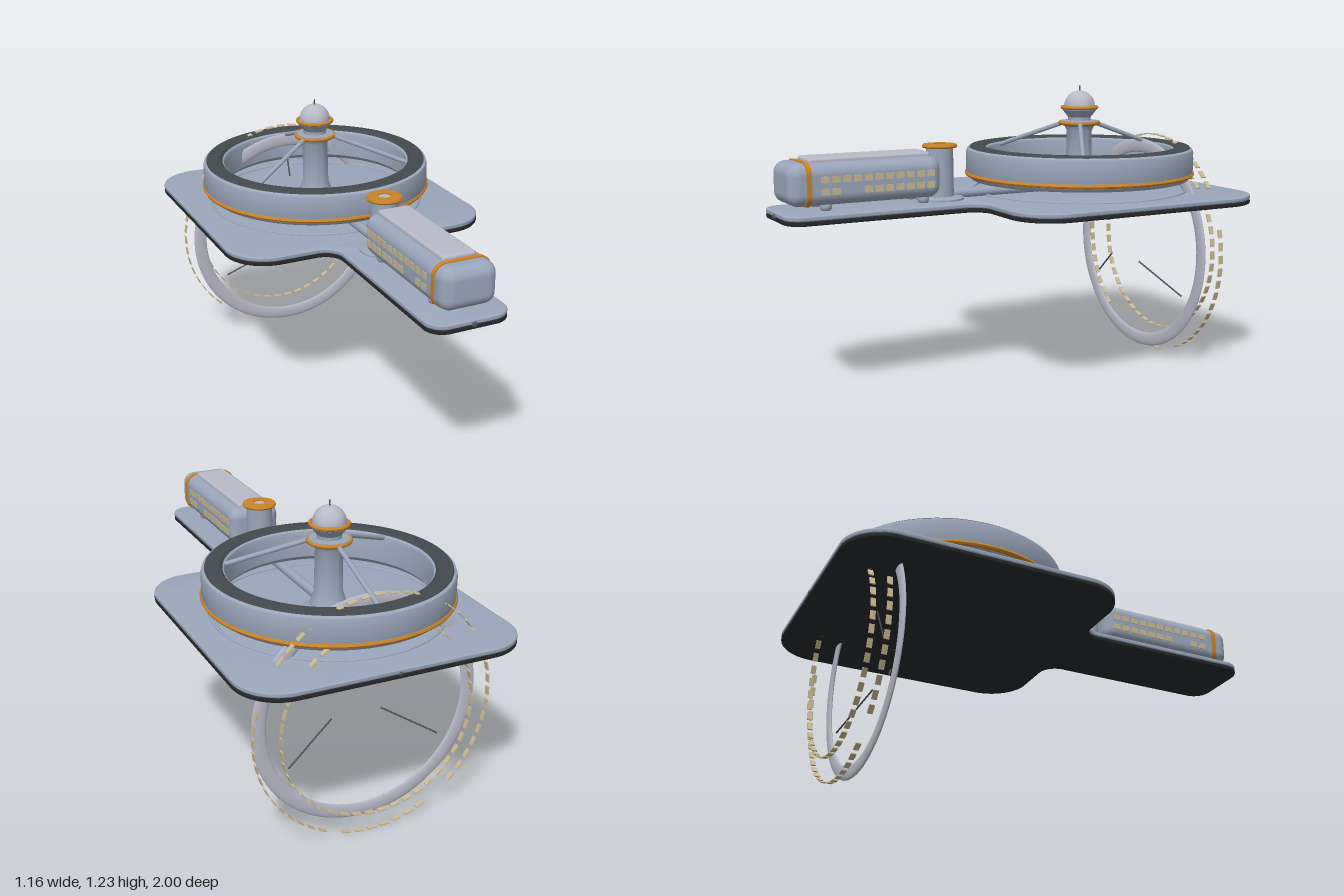
import * as THREE from 'three';
import { toCreasedNormals } from 'three/addons/utils/BufferGeometryUtils.js';
import { RoundedBoxGeometry } from 'three/addons/geometries/RoundedBoxGeometry.js';

const material = (name, color, extra = {}) => {
  const m = new THREE.MeshStandardMaterial({ color, ...extra });
  m.name = name;
  return m;
};

export function createModel() {
  const hull = material('blue grey hull', 0x9aa6ba);
  const pale = material('pale grey', 0xb9bac8);
  const orange = material('orange trim', 0xc98428);
  const dark = material('dark roof', 0x43494d);
  const under = material('black underside', 0x26282b);
  const strut = material('strut grey', 0x50545c);
  const glass = material('tan window', 0xc8b994);

  const model = new THREE.Group();
  model.name = 'ringStation';

  const add = (name, geometry, mat, x = 0, y = 0, z = 0, parent = model) => {
    const mesh = new THREE.Mesh(geometry, mat);
    mesh.name = name;
    mesh.position.set(x, y, z);
    parent.add(mesh);
    return mesh;
  };
  const lathe = (points, segments = 64) => toCreasedNormals(
    new THREE.LatheGeometry(points.map(([r, y]) => new THREE.Vector2(r, y)), segments), 0.6);
  const hoop = (radius, tube, segments = 64) =>
    new THREE.TorusGeometry(radius, tube, 10, segments).rotateX(Math.PI / 2);
  const rod = (name, a, b, radius, mat) => {
    const from = new THREE.Vector3(...a), to = new THREE.Vector3(...b);
    const mesh = add(name, new THREE.CylinderGeometry(radius, radius, from.distanceTo(to), 12), mat);
    mesh.position.copy(from).add(to).multiplyScalar(0.5);
    mesh.quaternion.setFromUnitVectors(new THREE.Vector3(0, 1, 0), to.sub(from).normalize());
  };

  // Platform: broad rounded square with a narrow neck toward the front
  const deckShape = inset => {
    const s = new THREE.Shape();
    const w = 0.58 - inset, n = 0.17 - inset;
    const back = 0.995 - inset, front = -0.165 + inset, tip = -0.99 + inset;
    const R = 0.18 - inset, r = 0.075 - inset, f = 0.075 + inset;
    s.absarc(w - R, back - R, R, 0, Math.PI / 2);
    s.absarc(-w + R, back - R, R, Math.PI / 2, Math.PI);
    s.absarc(-w + R, front + R, R, Math.PI, Math.PI * 1.5);
    s.absarc(-n - f, front - f, f, Math.PI / 2, 0, true);
    s.absarc(-n + r, tip + r, r, Math.PI, Math.PI * 1.5);
    s.absarc(n - r, tip + r, r, Math.PI * 1.5, Math.PI * 2);
    s.absarc(n + f, front - f, f, Math.PI, Math.PI / 2, true);
    s.absarc(w - R, front + R, R, Math.PI * 1.5, Math.PI * 2);
    return s;
  };
  const deck = (name, bottom, top, mat) => {
    const bevel = 0.007;
    const g = new THREE.ExtrudeGeometry(deckShape(bevel), {
      depth: top - bottom - 2 * bevel, bevelSize: bevel, bevelThickness: bevel,
      bevelSegments: 3, curveSegments: 12 });
    g.rotateX(-Math.PI / 2);
    add(name, toCreasedNormals(g, 0.7), mat, 0, bottom + bevel, 0);
  };
  deck('deckTop', 0.763, 0.784, hull);
  deck('deckUnderside', 0.745, 0.765, under);
  for (const z of [-0.99, 0.99]) add('endBeacon', new THREE.SphereGeometry(0.012, 12, 8), strut, 0, 0.765, z * 0.998);

  // Raised wheel habitat
  const cz = -0.41;
  add('wheelHull', lathe([[0.42, 0.832], [0.48, 0.832], [0.492, 0.845], [0.5, 0.865], [0.5, 0.95],
    [0.496, 0.964], [0.485, 0.971], [0.42, 0.971], [0.408, 0.962], [0.403, 0.945], [0.403, 0.85],
    [0.42, 0.832]], 96), hull, 0, 0, cz);
  add('wheelRoof', lathe([[0.488, 0.968], [0.482, 0.975], [0.455, 0.979], [0.425, 0.977], [0.415, 0.968]], 96), dark, 0, 0, cz);
  add('wheelTrim', lathe([[0.49, 0.847], [0.503, 0.85], [0.507, 0.857], [0.503, 0.866], [0.495, 0.868]], 96), orange, 0, 0, cz);
  add('wheelTrack', hoop(0.47, 0.006, 96), hull, 0, 0.785, cz);

  // Central hub with dome and mast
  add('hubColumn', lathe([[0.105, 0.782], [0.1, 0.79], [0.075, 0.805], [0.068, 0.83], [0.058, 0.86], [0.055, 1.04],
    [0.065, 1.06], [0.088, 1.07], [0.088, 1.083], [0.05, 1.086], [0.05, 1.1], [0.075, 1.132], [0.075, 1.145],
    [0, 1.145]], 40), hull, 0, 0, cz);
  add('hubLowerTrim', hoop(0.083, 0.009), orange, 0, 1.075, cz);
  add('hubUpperTrim', hoop(0.075, 0.008), orange, 0, 1.142, cz);
  add('hubDome', new THREE.SphereGeometry(0.067, 32, 16, 0, Math.PI * 2, 0, Math.PI / 2), pale, 0, 1.148, cz);
  add('mast', new THREE.CylinderGeometry(0.003, 0.004, 0.03, 8), strut, 0, 1.222, cz);
  for (let i = 0; i < 3; i++) {
    const a = Math.PI / 6 + i * Math.PI * 2 / 3;
    const c = Math.cos(a), s = Math.sin(a);
    rod('wheelSpoke', [c * 0.06, 1.079, cz + s * 0.06], [c * 0.415, 0.955, cz + s * 0.415], 0.01, hull);
  }
  rod('walkway', [0, 0.802, cz + 0.05], [0, 0.802, 0.24], 0.021, hull);

  // Lift tower between wheel and cabin
  add('tower', lathe([[0.1, 0.782], [0.1, 0.791], [0.09, 0.796], [0.058, 0.798], [0.056, 1.0], [0, 1.0]], 32), hull, 0, 0, 0.275);
  add('towerCap', lathe([[0.055, 0.998], [0.07, 1.0], [0.074, 1.006], [0.07, 1.014], [0.026, 1.016], [0.026, 1.0]], 32), orange, 0, 0, 0.275);
  add('towerHatch', new THREE.CylinderGeometry(0.026, 0.026, 0.01, 24), pale, 0, 1.006, 0.275);

  // Long cabin on the neck
  add('cabinBody', new RoundedBoxGeometry(0.23, 0.168, 0.65, 6, 0.048), hull, 0, 0.892, 0.64);
  add('cabinRoof', new RoundedBoxGeometry(0.14, 0.03, 0.52, 4, 0.012), pale, 0, 0.978, 0.61);
  const band = new THREE.Shape();
  const bw = 0.119, bh = 0.088, br = 0.05;
  [[bw - br, bh - br], [br - bw, bh - br], [br - bw, br - bh], [bw - br, br - bh]].forEach(([x, y], i) =>
    band.absarc(x, y, br, i * Math.PI / 2, (i + 1) * Math.PI / 2));
  add('cabinBand', toCreasedNormals(new THREE.ExtrudeGeometry(band, { depth: 0.02, bevelEnabled: false }), 0.6),
    orange, 0, 0.892, 0.875);
  const pane = new THREE.BoxGeometry(0.005, 0.026, 0.033);
  for (const side of [-1, 1]) {
    for (const z of [0.38, 0.8]) add('cabinFoot', new THREE.SphereGeometry(0.024, 16, 10), hull, side * 0.06, 0.8, z);
    for (let i = 0; i < 11; i++) {
      add('cabinWindow', pane, glass, side * 0.1155, 0.912, 0.37 + i * 0.045);
      if (i < 7 || i > 8) add('cabinWindow', pane, glass, side * 0.1155, 0.865, 0.37 + i * 0.045);
    }
  }

  // Upright flattened ring at the rear
  const cy = 0.505;
  const ring = new THREE.TorusGeometry(0.45, 0.03, 16, 96);
  ring.scale(1, 1, 0.27);
  add('uprightRing', ring, pale, 0, cy, -0.75);
  for (let i = 0; i < 3; i++) {
    const a = Math.PI / 2 + i * Math.PI * 2 / 3;
    const c = Math.cos(a), s = Math.sin(a);
    rod('uprightSpoke', [c * 0.125, cy + s * 0.125, -0.67], [c * 0.376, cy + s * 0.376, -0.747], 0.0035, strut);
  }

  // Circles of small windows behind the upright ring
  const windowCircle = (radius, z, count, gaps) => {
    const plate = new THREE.BoxGeometry(0.005, 0.036, 0.021);
    for (let i = 0; i < count; i++) {
      const deg = i * 360 / count, a = deg * Math.PI / 180;
      if (gaps.some(([lo, hi]) => deg > lo && deg < hi)) continue;
      add('ringWindow', plate, glass, Math.cos(a) * radius, cy + Math.sin(a) * radius, z).rotation.z = a;
    }
  };
  windowCircle(0.5, -0.818, 56, [[19, 33], [150, 165], [228, 243], [284, 291]]);
  windowCircle(0.404, -0.85, 46, []);

  return model;
}
